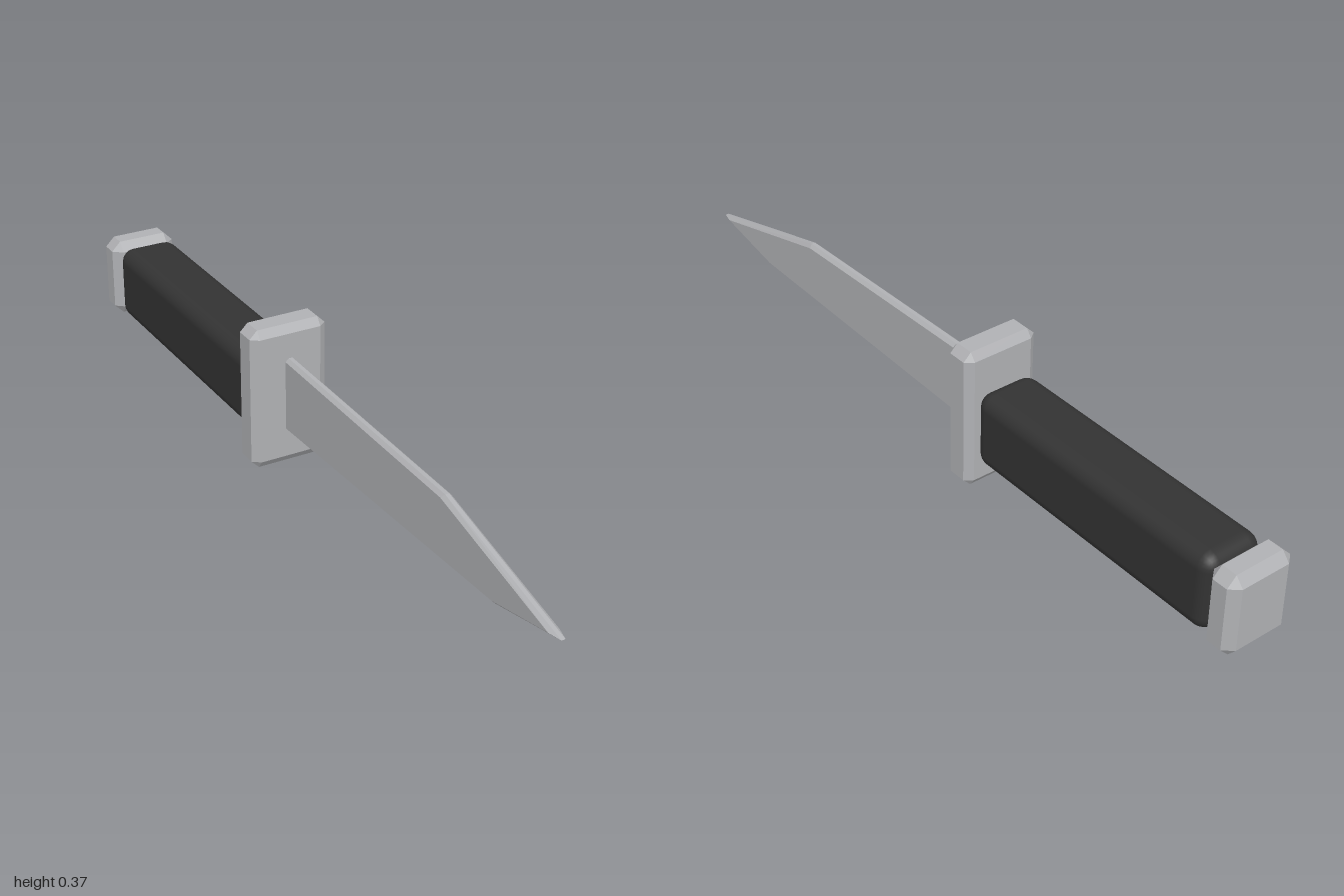
import * as THREE from 'three';
import { ConvexGeometry } from 'three/addons/geometries/ConvexGeometry.js';
import { RoundedBoxGeometry } from 'three/addons/geometries/RoundedBoxGeometry.js';

// Box with flat chamfers on every edge; c holds the cut along x, y and z
function chamferBox(w, h, d, c) {
  const half = [w / 2, h / 2, d / 2];
  const points = [];
  for (const sx of [-1, 1]) for (const sy of [-1, 1]) for (const sz of [-1, 1]) {
    const s = [sx, sy, sz];
    for (let face = 0; face < 3; face++) {
      points.push(new THREE.Vector3(...s.map((v, i) => v * (half[i] - (i === face ? 0 : c[i])))));
    }
  }
  return new ConvexGeometry(points);
}

export function createModel() {
  const steel = new THREE.MeshStandardMaterial({ color: 0xb0b1b4 });
  steel.name = 'steel';
  const rubber = new THREE.MeshStandardMaterial({ color: 0x333333 });
  rubber.name = 'black grip';

  const model = new THREE.Group();
  model.name = 'knife';
  const add = (name, geometry, material, y = 0, z = 0) => {
    const mesh = new THREE.Mesh(geometry, material);
    mesh.name = name;
    mesh.position.set(0, y, z);
    model.add(mesh);
  };

  // Blade: [z, y] outline of the thin rim, and the inset outline of the flat sides
  const rim = [[-0.11, 0.282], [0.58, 0.27], [1, 0.165], [0.78, 0.117], [-0.11, 0.087]];
  const flat = [[-0.11, 0.274], [0.575, 0.262], [0.968, 0.166], [0.775, 0.125], [-0.11, 0.095]];
  const points = [];
  for (const side of [-1, 1]) {
    for (const [z, y] of rim) points.push(new THREE.Vector3(side * 0.005, y, z));
    for (const [z, y] of flat) points.push(new THREE.Vector3(side * 0.0135, y, z));
  }
  add('blade', new ConvexGeometry(points), steel);

  // Hilt
  add('guard', chamferBox(0.2, 0.366, 0.078, [0.02, 0.02, 0.015]), steel, 0.183, -0.138);
  add('grip', new RoundedBoxGeometry(0.158, 0.196, 0.746, 3, 0.036), rubber, 0.167, -0.548);
  add('pommel', chamferBox(0.176, 0.208, 0.08, [0.024, 0.024, 0.02]), steel, 0.167, -0.96);

  return model;
}
